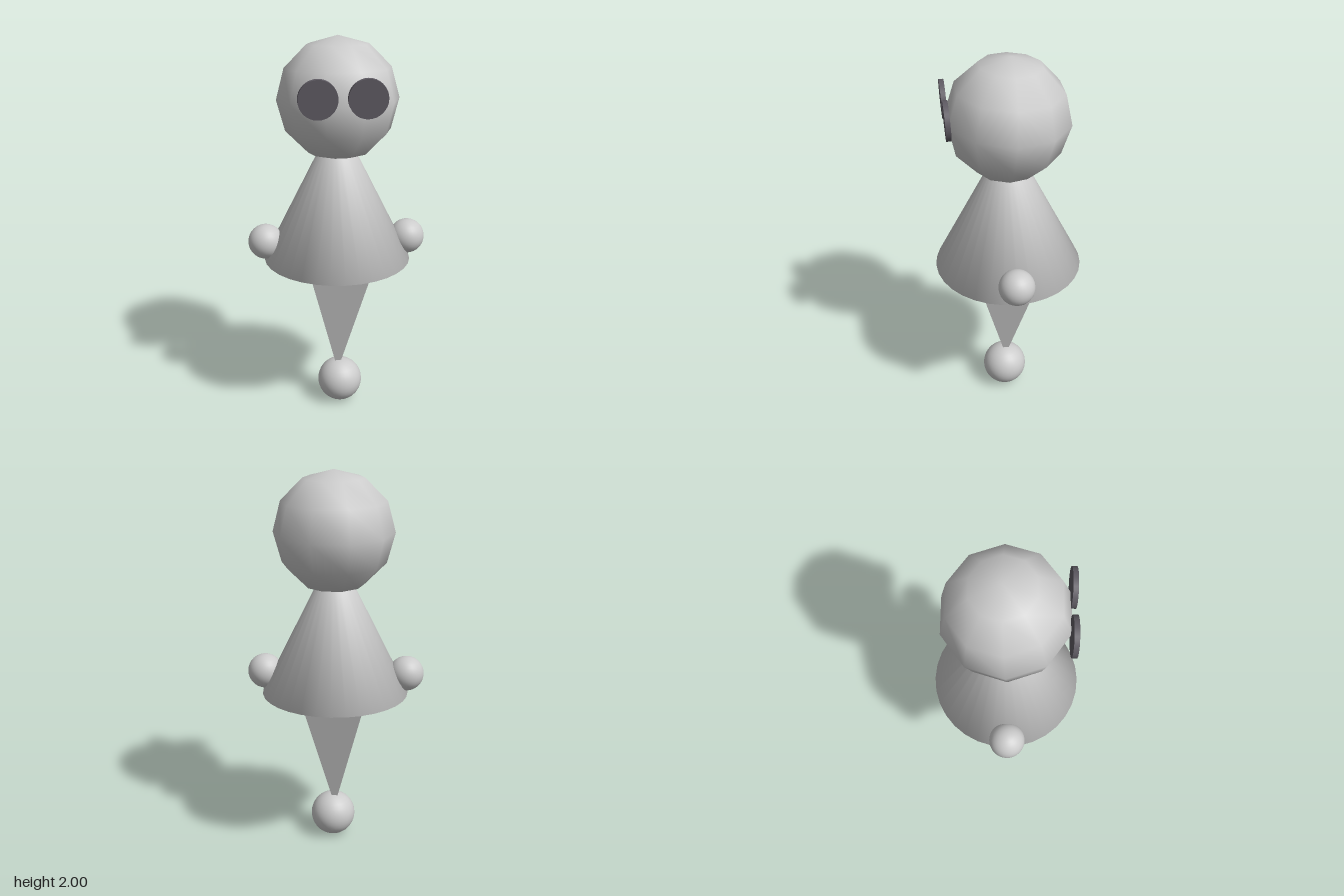
import * as THREE from 'three';

export function createModel() {
  const model = new THREE.Group();
  const grey = new THREE.MeshStandardMaterial({ color: 0xcccccc });
  const facetedGrey = new THREE.MeshStandardMaterial({ color: 0xcccccc, flatShading: true });
  const dark = new THREE.MeshStandardMaterial({ color: 0x5f5b63 });

  const add = (name, geometry, material, x, y, z) => {
    const mesh = new THREE.Mesh(geometry, material);
    mesh.name = name;
    mesh.position.set(x, y, z);
    model.add(mesh);
    return mesh;
  };

  // Coarse round head, tipped back very slightly
  const head = add('head', new THREE.SphereGeometry(0.307, 10, 6), grey, 0.006, 1.694, 0);
  head.rotation.x = -0.05;

  // Flat disc eyes, leaning forward a little
  for (const [name, x] of [['rightEye', -0.122], ['leftEye', 0.112]]) {
    const eye = add(name, new THREE.CylinderGeometry(0.094, 0.094, 0.024, 32), dark, x, 1.752, 0.297);
    eye.rotation.x = Math.PI / 2 + 0.04;
  }

  // Flared dress, closed at hem and neck, shaded softly over the hem
  const profile = [[0, 0.855], [0.382, 0.855], [0.1, 1.418], [0, 1.418]];
  add('dress', new THREE.LatheGeometry(profile.map(([r, y]) => new THREE.Vector2(r, y)), 32), grey, 0, 0, 0);

  // Ball hands
  for (const [name, x] of [['rightHand', -0.373], ['leftHand', 0.37]]) {
    add(name, new THREE.SphereGeometry(0.091, 32, 16), grey, x, 0.957, 0.008);
  }

  // Square leg tapering down to the foot
  const legShape = new THREE.CylinderGeometry(0.24, 0.018, 0.64, 4);
  legShape.rotateY(Math.PI / 4);
  add('leg', legShape, facetedGrey, 0.003, 0.54, 0.014);

  // Ball foot
  add('foot', new THREE.SphereGeometry(0.12, 32, 16), grey, 0.013, 0.12, 0.022);

  return model;
}
